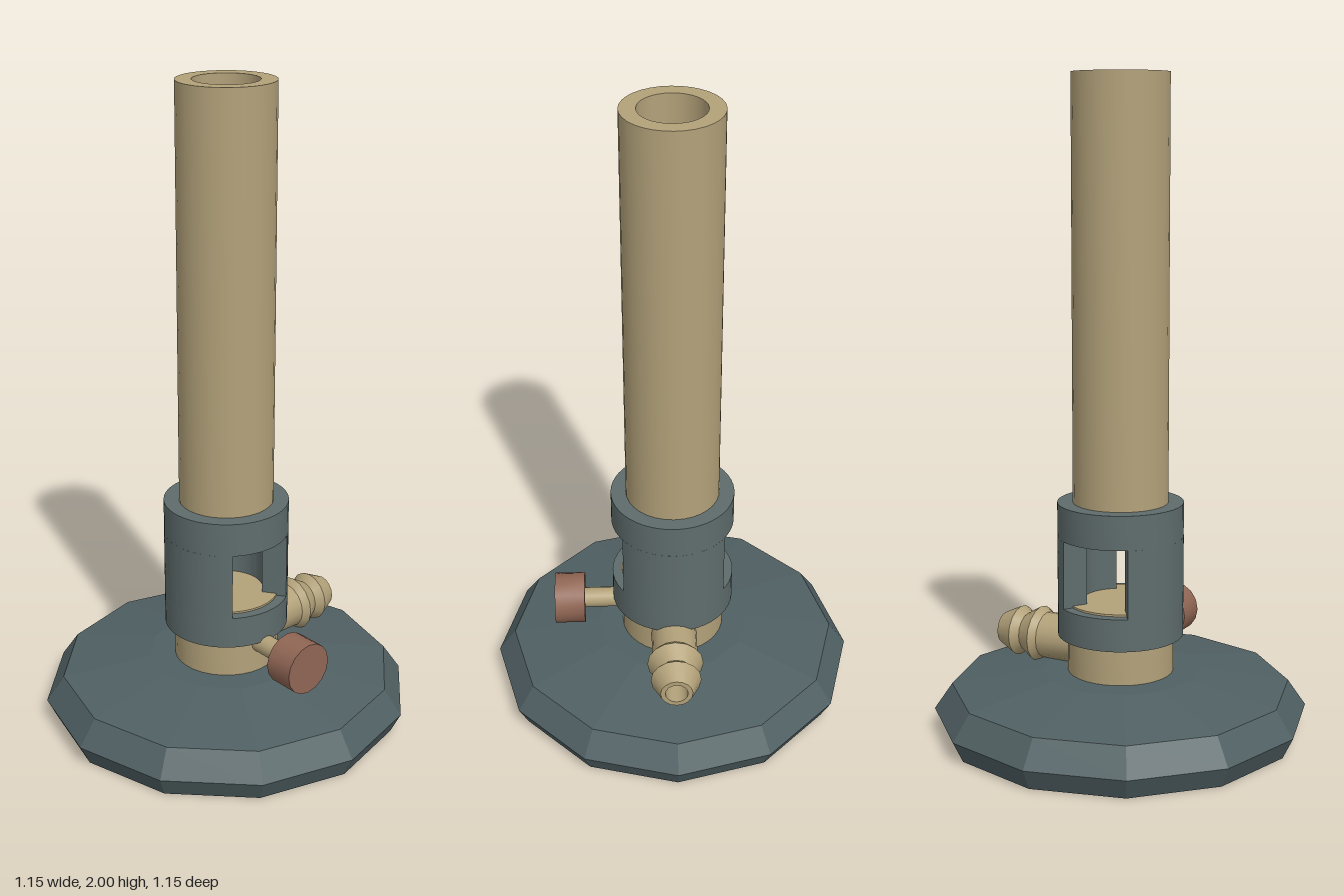
import * as THREE from 'three';
import { toCreasedNormals } from 'three/addons/utils/BufferGeometryUtils.js';

const BRASS = 0xb3a27a, IRON = 0x5f6c6c, BASE = 0x506063, COPPER = 0x906654;

function part(name, geometry, color, flatShading = false) {
  const material = new THREE.MeshStandardMaterial({ color, flatShading });
  const mesh = new THREE.Mesh(geometry, material);
  mesh.name = name;
  return mesh;
}

// Turned part: outline of [radius, height] pairs, going up the outside
function turned(points, segments) {
  const outline = points.map(([r, y]) => new THREE.Vector2(r, y));
  return toCreasedNormals(new THREE.LatheGeometry(outline, segments), 0.45);
}

// Upright extrusion of a flat shape between two heights
function upright(shape, y0, y1) {
  const g = new THREE.ExtrudeGeometry(shape, { depth: y1 - y0, bevelEnabled: false, curveSegments: 24 });
  g.rotateX(-Math.PI / 2).translate(0, y0, 0);
  return toCreasedNormals(g, 0.45);
}

function createCollar() {
  const collar = new THREE.Group();
  collar.name = 'airCollar';
  const outer = 0.193, inner = 0.115;

  // Full rings below and above the air windows
  const ring = new THREE.Shape().absarc(0, 0, outer, 0, Math.PI * 2, false);
  ring.holes.push(new THREE.Path().absarc(0, 0, inner, 0, Math.PI * 2, true));
  collar.add(part('lowerRing', upright(ring, 0.305, 0.405), IRON));
  collar.add(part('upperRing', upright(ring, 0.615, 0.72), IRON));

  // Curved walls left and right of the windows, with radial ends
  const half = 0.965;
  for (const [name, mid] of [['leftWall', 0], ['rightWall', Math.PI]]) {
    const wall = new THREE.Shape();
    wall.absarc(0, 0, outer, mid - half, mid + half, false);
    wall.absarc(0, 0, inner, mid + half, mid - half, true);
    wall.closePath();
    collar.add(part(name, upright(wall, 0.405, 0.615), IRON));
  }
  return collar;
}

function createGasInlet() {
  // Barbed hose nozzle with a blind bore, turned upright then laid along +x
  const profile = [
    [0.072, 0.12], [0.072, 0.265], [0.088, 0.287], [0.059, 0.335],
    [0.079, 0.36], [0.05, 0.42], [0.035, 0.42], [0.035, 0.2], [0, 0.2],
  ];
  const inlet = part('gasInlet', turned(profile, 16), BRASS);
  inlet.rotation.z = -Math.PI / 2;
  inlet.position.y = 0.257;
  return inlet;
}

function createNeedleValve() {
  const valve = new THREE.Group();
  valve.name = 'needleValve';
  const stem = part('valveStem', turned([[0, 0.13], [0.032, 0.13], [0.032, 0.3], [0, 0.3]], 16), BRASS);
  const knob = part('valveKnob', turned([[0, 0.285], [0.081, 0.285], [0.081, 0.381], [0, 0.381]], 16), COPPER);
  valve.add(stem, knob);
  valve.rotation.x = Math.PI / 2;
  valve.position.y = 0.287;
  return valve;
}

export function createModel() {
  const model = new THREE.Group();
  model.name = 'gasBurner';

  // Faceted twelve-sided foot
  const foot = [[0, 0], [0.545, 0], [0.577, 0.065], [0.522, 0.145], [0.245, 0.19], [0, 0.19]];
  model.add(part('foot', turned(foot, 12), BASE, true));

  // Short body reaching just above the window sill
  const body = [[0, 0.18], [0.163, 0.18], [0.163, 0.411], [0, 0.411]];
  model.add(part('body', turned(body, 32), BRASS));

  model.add(createCollar());

  // Hollow barrel, open at both ends
  const barrel = [[0.098, 0.61], [0.146, 0.61], [0.146, 2], [0.098, 2], [0.098, 0.61]];
  model.add(part('barrel', turned(barrel, 32), BRASS));

  model.add(createGasInlet(), createNeedleValve());
  return model;
}
